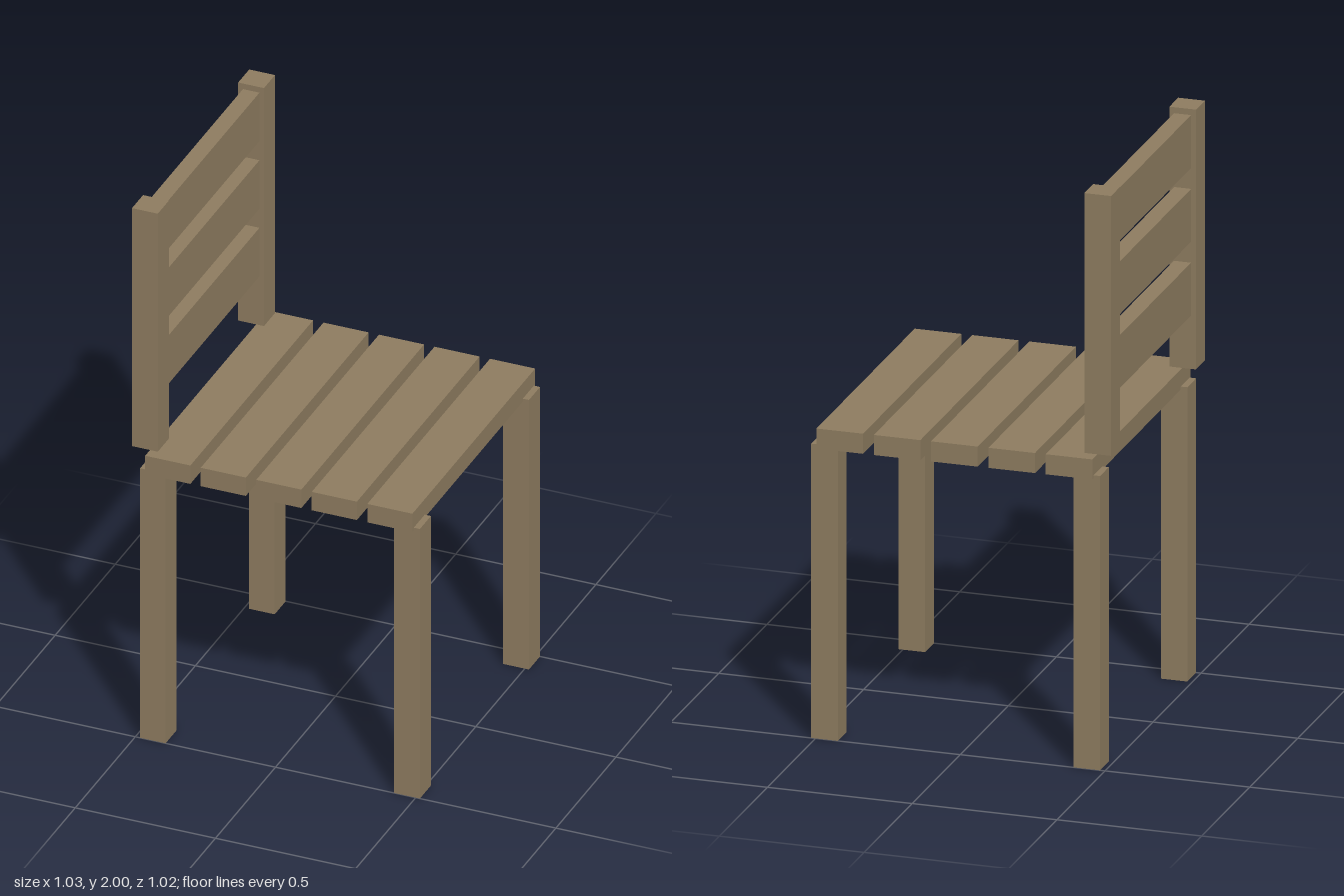
import * as THREE from 'three';

export function createModel() {
  const chair = new THREE.Group();
  chair.name = 'chair';
  const wood = new THREE.MeshStandardMaterial({ color: 0x8e7c60 });
  wood.name = 'weathered wood';

  // Box given by its extents along each axis
  function board(name, [x0, x1], [y0, y1], [z0, z1]) {
    const mesh = new THREE.Mesh(new THREE.BoxGeometry(x1 - x0, y1 - y0, z1 - z0), wood);
    mesh.position.set((x0 + x1) / 2, (y0 + y1) / 2, (z0 + z1) / 2);
    mesh.name = name;
    chair.add(mesh);
  }

  // Legs and backrest posts, one of each per side
  for (const [side, s] of [['Left', 1], ['Right', -1]]) {
    const across = (a, b) => (s > 0 ? [a, b] : [-b, -a]);
    board('rearLeg' + side, [-0.483, -0.392], [0, 1.025], across(0.408, 0.5));
    board('frontLeg' + side, [0.423, 0.515], [0, 1.025], across(0.408, 0.5));
    board('backPost' + side, [-0.517, -0.425], [1.095, 2], across(0.396, 0.488));
  }

  // Five seat slats
  for (let i = 0; i < 5; i++) {
    const x = -0.46 + i * 0.198;
    board('seatSlat' + (i + 1), [x, x + 0.161], [1.014, 1.084], [-0.511, 0.511]);
  }

  // Three backrest slats between the posts
  for (let i = 0; i < 3; i++) {
    const y = 1.281 + i * 0.257;
    board('backSlat' + (i + 1), [-0.5, -0.441], [y, y + 0.184], [-0.4, 0.4]);
  }

  return chair;
}
